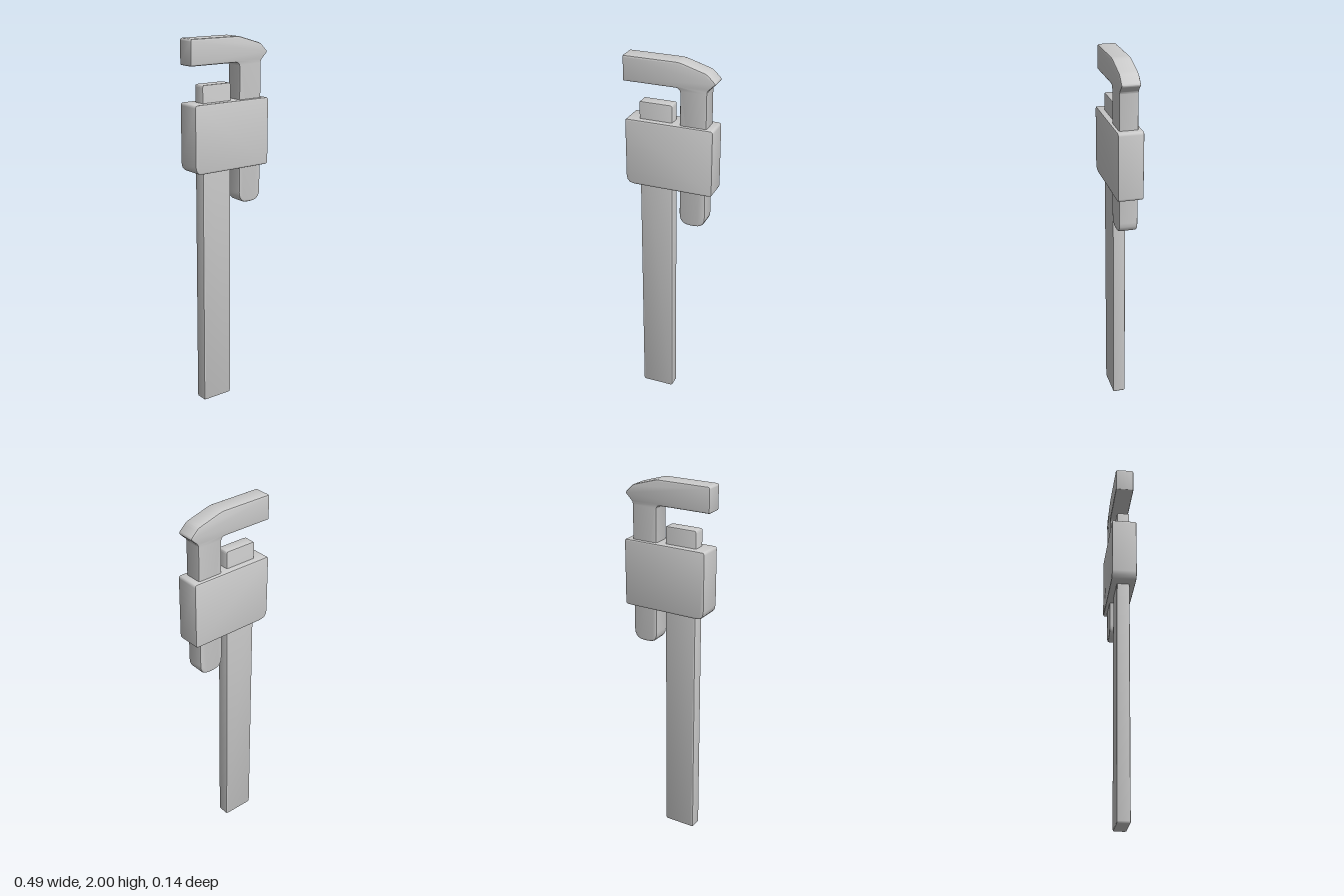
import * as THREE from 'three';
import { toCreasedNormals } from 'three/addons/utils/BufferGeometryUtils.js';

const material = new THREE.MeshStandardMaterial({ color: 0xcccccc });

// Closed outline from corners [x, y, radius]; each corner is rounded by its radius
function roundedOutline(corners) {
  const shape = new THREE.Shape();
  corners.forEach(([x, y, r], i) => {
    const p = new THREE.Vector2(x, y);
    const toward = (c) => new THREE.Vector2(c[0], c[1]).sub(p).setLength(r).add(p);
    const a = toward(corners[(i + corners.length - 1) % corners.length]);
    const b = toward(corners[(i + 1) % corners.length]);
    if (i === 0) shape.moveTo(a.x, a.y);
    else shape.lineTo(a.x, a.y);
    shape.quadraticCurveTo(x, y, b.x, b.y);
  });
  shape.closePath();
  return shape;
}

// Bevelled plate between zBack and zFront
function plate(name, corners, zBack, zFront, bevel, curveSegments = 3) {
  const geometry = new THREE.ExtrudeGeometry(roundedOutline(corners), {
    depth: zFront - zBack - 2 * bevel,
    bevelThickness: bevel,
    bevelSize: bevel,
    bevelOffset: -bevel,
    bevelSegments: 2,
    curveSegments,
  });
  geometry.translate(0, 0, zBack + bevel);
  const mesh = new THREE.Mesh(toCreasedNormals(geometry, 0.7), material);
  mesh.name = name;
  return mesh;
}

export function createModel() {
  const group = new THREE.Group();
  group.name = 'pipeWrench';

  // Long flat handle, its top end serving as the lower jaw
  group.add(plate('handle', [
    [-0.165, 0, 0.012], [0.015, 0, 0.012], [0.015, 1.765, 0.012], [-0.165, 1.765, 0.012],
  ], -0.035, 0.035, 0.008));

  // Housing around the handle and the jaw shank
  group.add(plate('housing', [
    [-0.232, 1.31, 0.045], [0.242, 1.31, 0.015], [0.242, 1.672, 0.015], [-0.232, 1.672, 0.015],
  ], -0.069, 0.066, 0.007));

  // Hooked upper jaw with a round-ended shank
  group.add(plate('hookJaw', [
    [-0.246, 2, 0.012], [-0.246, 1.865, 0.008], [0.06, 1.865, 0.025],
    [0.06, 1.112, 0.06], [0.203, 1.112, 0.06], [0.203, 1.866, 0.012],
    [0.248, 1.91, 0.012], [0.2, 1.957, 0.015], [0.055, 2, 0.02],
  ], -0.05, 0.05, 0.01, 5));

  return group;
}
